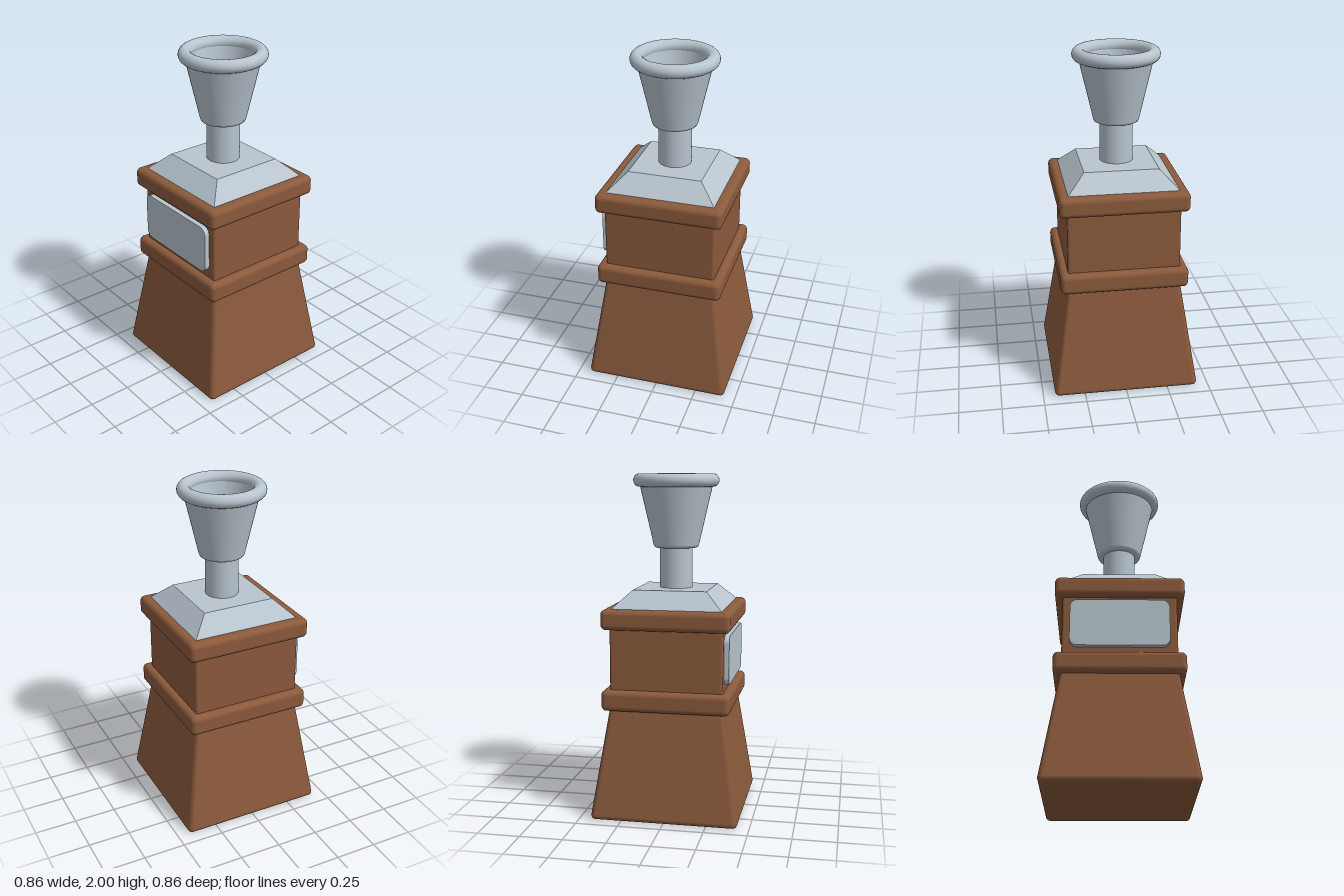
import * as THREE from 'three';
import { RoundedBoxGeometry } from 'three/addons/geometries/RoundedBoxGeometry.js';

export function createModel() {
  const model = new THREE.Group();
  const wood = new THREE.MeshStandardMaterial({ color: 0x8b5a3c });
  wood.name = 'brown wood';
  const metal = new THREE.MeshStandardMaterial({ color: 0xb8c4ce });
  metal.name = 'silver metal';

  const add = (name, geometry, material, y = 0) => {
    const mesh = new THREE.Mesh(geometry, material);
    mesh.name = name;
    mesh.position.y = y;
    model.add(mesh);
    return mesh;
  };

  // square rounded block between two heights
  const block = (name, width, y0, y1, radius) =>
    add(name, new RoundedBoxGeometry(width, y1 - y0, width, 5, radius), wood, (y0 + y1) / 2);

  // flared base: a rounded block narrowed towards the top
  const base = block('flaredBase', 0.87, 0, 0.7, 0.03).geometry;
  const p = base.attributes.position;
  const n = base.attributes.normal;
  for (let i = 0; i < p.count; i++) {
    const s = 1 - 0.25 * (p.getY(i) + 0.35) / 0.7;
    p.setXYZ(i, p.getX(i) * s, p.getY(i), p.getZ(i) * s);
    // tilt the normals with the sloping walls
    const v = new THREE.Vector3(n.getX(i), n.getY(i), n.getZ(i));
    v.y += 0.155 * Math.max(Math.abs(v.x), Math.abs(v.z));
    v.normalize();
    n.setXYZ(i, v.x, v.y, v.z);
  }

  // body with a collar below and above
  block('lowerCollar', 0.75, 0.643, 0.765, 0.03);
  block('body', 0.66, 0.72, 1.16, 0.015);
  block('upperCollar', 0.75, 1.118, 1.235, 0.03);

  // front plate with rounded corners
  const [w, h, r] = [0.285, 0.143, 0.045];
  const plate = new THREE.Shape();
  plate.absarc(w - r, h - r, r, 0, Math.PI / 2);
  plate.absarc(r - w, h - r, r, Math.PI / 2, Math.PI);
  plate.absarc(r - w, r - h, r, Math.PI, Math.PI * 1.5);
  plate.absarc(w - r, r - h, r, Math.PI * 1.5, Math.PI * 2);
  plate.closePath();
  add('frontPlate', new THREE.ExtrudeGeometry(plate, {
    depth: 0.04, bevelEnabled: false, curveSegments: 8,
  }), metal, 0.948).position.z = 0.32;

  // sloping square cap
  const cap = new THREE.CylinderGeometry(0.217 * Math.SQRT2, 0.32 * Math.SQRT2, 0.1, 4, 1)
    .rotateY(Math.PI / 4).toNonIndexed();
  cap.computeVertexNormals();
  add('slopedCap', cap, metal, 1.285);

  // stem running up into the cup
  add('stem', new THREE.CylinderGeometry(0.097, 0.097, 0.27, 48), metal, 1.465);

  // hollow funnel cup: outer and inner walls, softened foot
  const foot = [[0, 1.57], [0.12, 1.57], [0.129, 1.574], [0.134, 1.585]];
  const side = [[0.134, 1.585], [0.216, 1.94]];
  const inside = [[0.18, 1.95], [0.11, 1.595]];
  const floor = [[0.11, 1.595], [0, 1.595]];
  const cup = new THREE.Group();
  cup.name = 'cup';
  for (const [name, points] of Object.entries({ cupFoot: foot, cupSide: side, cupInside: inside, cupFloor: floor })) {
    const profile = points.map(([x, y]) => new THREE.Vector2(x, y));
    const mesh = new THREE.Mesh(new THREE.LatheGeometry(profile, 48), metal);
    mesh.name = name;
    cup.add(mesh);
  }
  model.add(cup);

  // rolled rim
  add('cupRim', new THREE.TorusGeometry(0.2145, 0.0385, 20, 64).rotateX(Math.PI / 2), metal, 1.9615);

  return model;
}
